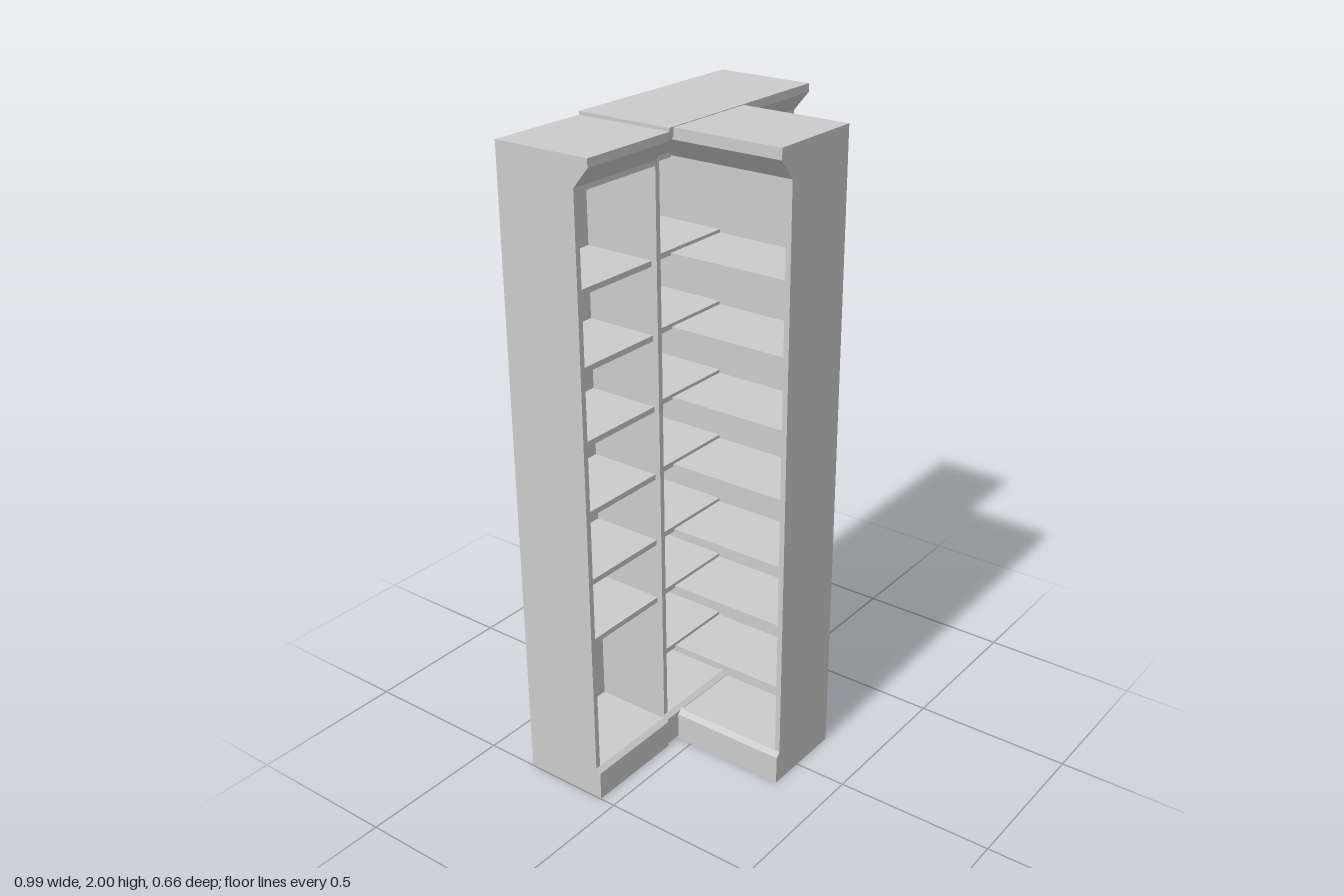
import * as THREE from 'three';

const material = new THREE.MeshStandardMaterial({ color: 0xcccccc, flatShading: true });
const BOARD = 0.017;   // panel and shelf thickness
const DEPTH = 0.265;   // body depth
const CROWN = 0.315;   // depth at the cornice
const PLINTH = 0.28;   // depth at the foot

// Extrudes a (depth, height) profile sideways from x0 to x1.
function profileBoard(name, points, x0, x1) {
  const shape = new THREE.Shape(points.map(([z, y]) => new THREE.Vector2(z, y)));
  const geometry = new THREE.ExtrudeGeometry(shape, { depth: x1 - x0, bevelEnabled: false });
  geometry.rotateY(-Math.PI / 2).translate(x1, 0, 0);
  const mesh = new THREE.Mesh(geometry, material);
  mesh.name = name;
  return mesh;
}

function box(name, x0, x1, y0, y1, z0, z1) {
  const mesh = new THREE.Mesh(new THREE.BoxGeometry(x1 - x0, y1 - y0, z1 - z0), material);
  mesh.name = name;
  mesh.position.set((x0 + x1) / 2, (y0 + y1) / 2, (z0 + z1) / 2);
  return mesh;
}

// One bookcase: back on z = 0, opening towards +z, from x0 to x1.
function bookcase(name, x0, x1, height, shelfHeights, hasLeftPanel = true) {
  const unit = new THREE.Group();
  unit.name = name;
  const inner0 = x0 + BOARD;
  const inner1 = hasLeftPanel ? x1 - BOARD : x1;

  // side panels, stepped out at the foot
  const side = [[0, 0], [PLINTH, 0], [PLINTH, 0.092], [DEPTH, 0.105], [DEPTH, 1.9], [0, 1.9]];
  unit.add(profileBoard('sidePanel', side, x0, inner0));
  if (hasLeftPanel) unit.add(profileBoard('sidePanel', side, inner1, x1));

  // flared cornice with the header under it
  unit.add(profileBoard('cornice', [
    [0, 1.89], [DEPTH, 1.89], [DEPTH, 1.905], [CROWN, 1.965], [CROWN, height], [0, height],
  ], x0, x1));

  // foot board, hollow behind, and the lowest shelf
  unit.add(profileBoard('plinth', [
    [DEPTH - 0.01, 0], [PLINTH, 0], [PLINTH, 0.092], [DEPTH, 0.105], [DEPTH - 0.01, 0.105],
  ], inner0, inner1));
  unit.add(box('bottomShelf', inner0, inner1, 0.085, 0.1, BOARD, DEPTH - 0.01));

  unit.add(box('backPanel', inner0, inner1, 0, 1.89, 0, BOARD));
  for (const y of shelfHeights) {
    unit.add(box('shelf', inner0, inner1, y - BOARD / 2, y + BOARD / 2, BOARD, DEPTH - 0.018));
  }
  return unit;
}

export function createModel() {
  const model = new THREE.Group();
  model.name = 'tShapedBookcase';
  const shelves = [1.612, 1.391, 1.171, 0.953, 0.733, 0.533];
  const allShelves = [...shelves, 0.315];

  // narrow case shares the wide case's side panel
  const narrow = bookcase('narrowBookcase', -0.498, -0.168, 1.99, shelves, false);
  narrow.position.z = -0.331;

  const wide = bookcase('wideBookcase', -0.168, 0.495, 1.99, allShelves);
  wide.position.set(0, 0.01, -0.331);

  // crossing case turned to face the model's right
  const crossing = bookcase('crossingBookcase', -0.33, 0.331, 1.998, allShelves);
  crossing.rotation.y = -Math.PI / 2;
  crossing.position.x = 0.165;

  model.add(narrow, wide, crossing);
  return model;
}
